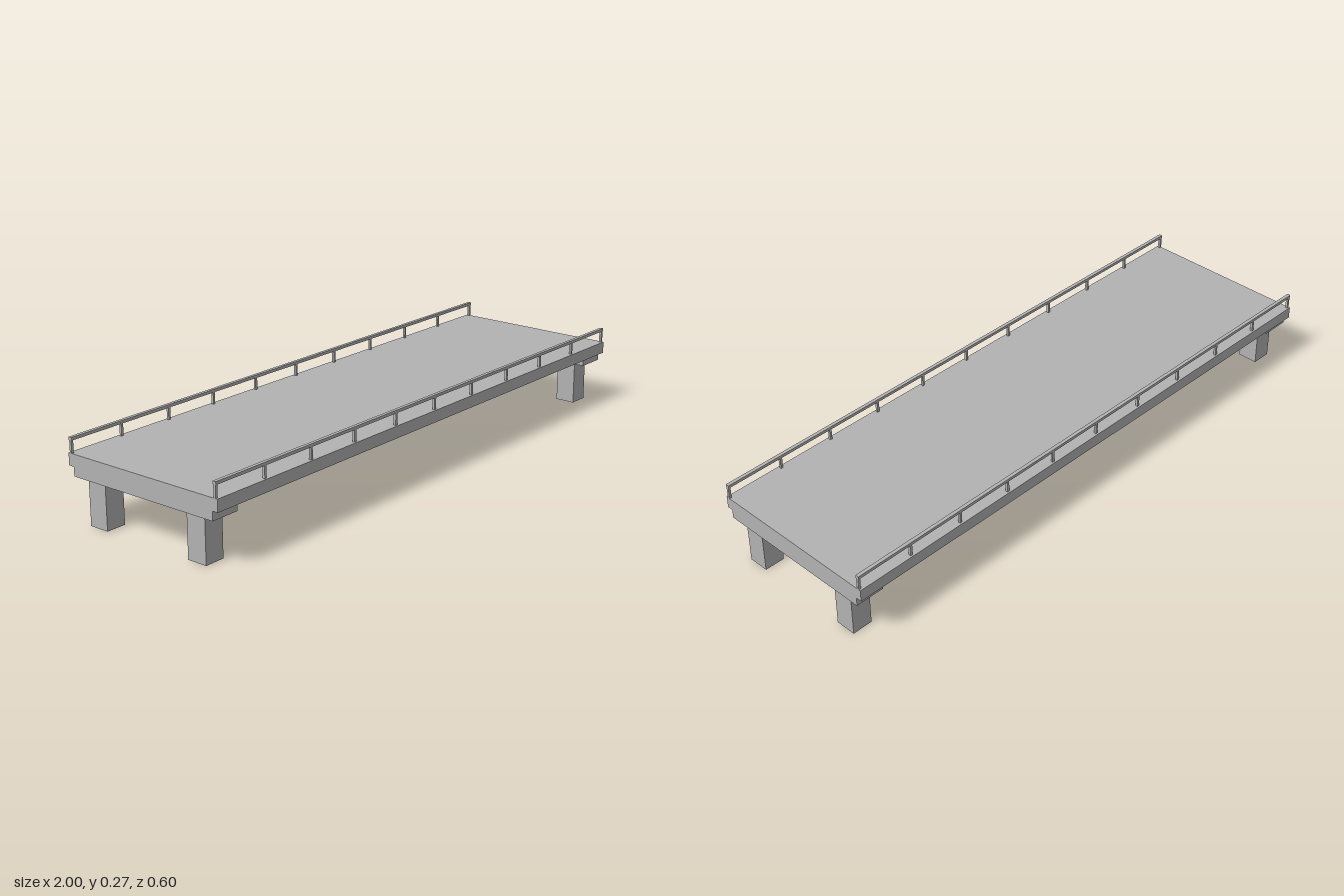
import * as THREE from 'three';

export function createModel() {
  const model = new THREE.Group();
  model.name = 'bridge';
  const concrete = new THREE.MeshStandardMaterial({ color: 0xb2b2b2 });
  concrete.name = 'concrete grey';

  // Box centred on x and z, resting on y = bottom
  function box(name, parent, w, h, d, x, bottom, z) {
    const mesh = new THREE.Mesh(new THREE.BoxGeometry(w, h, d), concrete);
    mesh.name = name;
    mesh.position.set(x, bottom + h / 2, z);
    parent.add(mesh);
  }

  // Road slab
  box('deck', model, 2, 0.04, 0.6, 0, 0.18, 0);

  // End supports: a cross beam on two square columns
  for (const side of [-1, 1]) {
    const pier = new THREE.Group();
    pier.name = side > 0 ? 'leftPier' : 'rightPier';
    box('crossBeam', pier, 0.1, 0.03, 0.56, side * 0.95, 0.15, 0);
    for (const z of [-0.2, 0.2]) box('column', pier, 0.07, 0.15, 0.07, side * 0.95, 0, z);
    model.add(pier);
  }

  // Railings: evenly spaced posts under a continuous handrail
  const posts = 11, postSize = 0.008;
  for (const side of [-1, 1]) {
    const railing = new THREE.Group();
    railing.name = side > 0 ? 'frontRailing' : 'backRailing';
    const z = side * 0.29;
    box('handrail', railing, 2, 0.01, 0.012, 0, 0.26, z);
    for (let i = 0; i < posts; i++) {
      const x = (2 * i / (posts - 1) - 1) * (1 - postSize / 2);
      box('post', railing, postSize, 0.04, postSize, x, 0.22, z);
    }
    model.add(railing);
  }
  return model;
}
